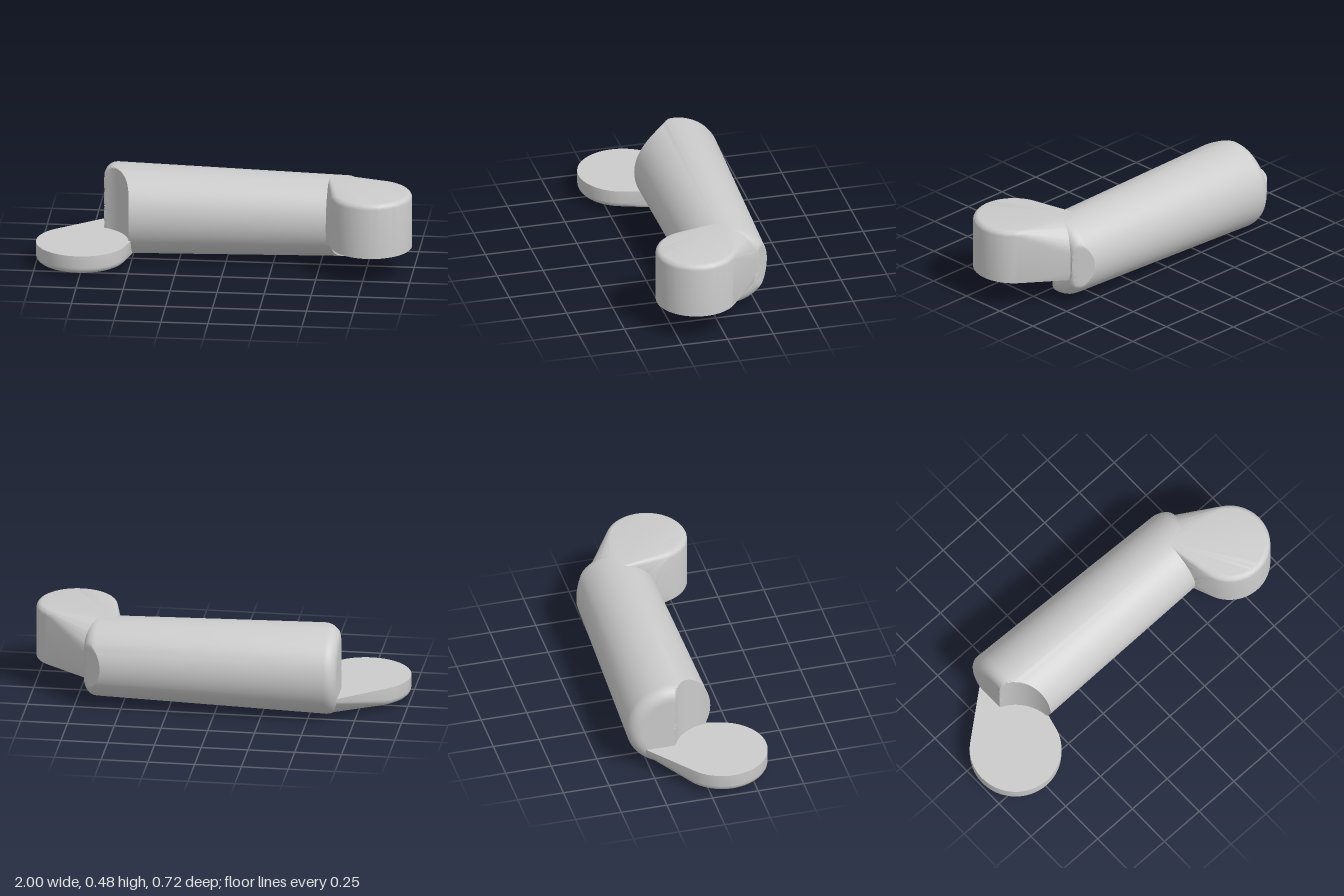
import * as THREE from 'three';
import { toCreasedNormals } from 'three/addons/utils/BufferGeometryUtils.js';
import { ConvexGeometry } from 'three/addons/geometries/ConvexGeometry.js';

const AXIS_Y = 0.25;
const LEFT = { x: -0.757, z: 0.116, r: 0.243 };
const RIGHT = { x: 0.783, z: 0.115, r: 0.216 };

// Tapered tube: radius and axis depth along x
const along = (x) => THREE.MathUtils.clamp((x + 0.6) / 1.2, 0, 1);
const tubeRadius = (x) => THREE.MathUtils.lerp(0.242, 0.214, along(x));
const tubeZ = (x) => THREE.MathUtils.lerp(-0.123, -0.103, along(x));

// Half width in x of a joint's clearance at depth z (-1 when outside it)
function reach(joint, z) {
  const d = (joint.r + 0.005) ** 2 - (z - joint.z) ** 2;
  return d > 0 ? Math.sqrt(d) : -1;
}

// Tube with rounded ends, hollowed around both joints
function tubeGeometry() {
  const x0 = -0.66, x1 = 0.7, f = 0.065, steps = 6, rings = 14;
  const half = (end, dir) => {
    const pts = [], R = tubeRadius(end);
    for (let i = 0; i < rings; i++) pts.push(new THREE.Vector2((R - f) * i / rings, end));
    for (let i = 0; i <= steps; i++) {
      const a = i / steps * Math.PI / 2;
      pts.push(new THREE.Vector2(R - f + f * Math.sin(a), end + dir * f * (1 - Math.cos(a))));
    }
    return pts;
  };
  const profile = [...half(x0, 1), ...half(x1, -1).reverse()];
  const geo = new THREE.LatheGeometry(profile, 96).rotateZ(-Math.PI / 2);
  const p = geo.attributes.position;
  for (let i = 0; i < p.count; i++) {
    let x = p.getX(i);
    const z = p.getZ(i) + tubeZ(x);
    if (x < 0) {
      const w = reach(LEFT, z);
      if (w >= 0) x = Math.max(x, LEFT.x + w);
    } else {
      const w = reach(RIGHT, z);
      if (w >= 0) x = Math.min(x, RIGHT.x - w);
      x = Math.min(x, 0.6 + 1.3 * (z + 0.32)); // slanted back corner
    }
    p.setXYZ(i, x, p.getY(i) + AXIS_Y, z);
  }
  return toCreasedNormals(geo, 0.6);
}

// Joint: round pad with one rounded rim, blended into an arc of the tube.
// flat is the sharp face's height, rim the rounded face's height.
function jointGeometry({ x, z, r }, flat, rim, fillet, sections) {
  const pts = [], n = 64, steps = 5;
  const dir = Math.sign(rim - flat);
  const ring = (radius, y) => {
    for (let i = 0; i < n; i++) {
      const a = i / n * Math.PI * 2;
      pts.push(new THREE.Vector3(x + radius * Math.cos(a), y, z + radius * Math.sin(a)));
    }
  };
  ring(r, flat);
  for (let i = 0; i <= steps; i++) {
    const a = i / steps * Math.PI / 2;
    ring(r - fillet * (1 - Math.cos(a)), rim - dir * fillet * (1 - Math.sin(a)));
  }
  // Tube cross-section on the rounded side of the flat face
  for (const sx of sections) {
    const R = tubeRadius(sx);
    const start = Math.asin(dir * (flat - AXIS_Y) / R);
    for (let i = 0; i <= 40; i++) {
      const a = THREE.MathUtils.lerp(start, Math.PI - start, i / 40);
      pts.push(new THREE.Vector3(sx, AXIS_Y + dir * R * Math.sin(a), tubeZ(sx) + R * Math.cos(a)));
    }
  }
  return toCreasedNormals(new ConvexGeometry(pts), 0.55);
}

export function createModel() {
  const group = new THREE.Group();
  group.name = 'armLink';
  const material = new THREE.MeshStandardMaterial({ color: 0xcccccc });
  const add = (name, geometry) => {
    const mesh = new THREE.Mesh(geometry, material);
    mesh.name = name;
    group.add(mesh);
  };
  add('tube', tubeGeometry());
  add('lowerJointPad', jointGeometry(LEFT, 0.135, 0.033, 0.035, [-0.58, -0.5]));
  add('upperJointHousing', jointGeometry(RIGHT, 0.163, 0.464, 0.03, [0.59, 0.54]));
  return group;
}
